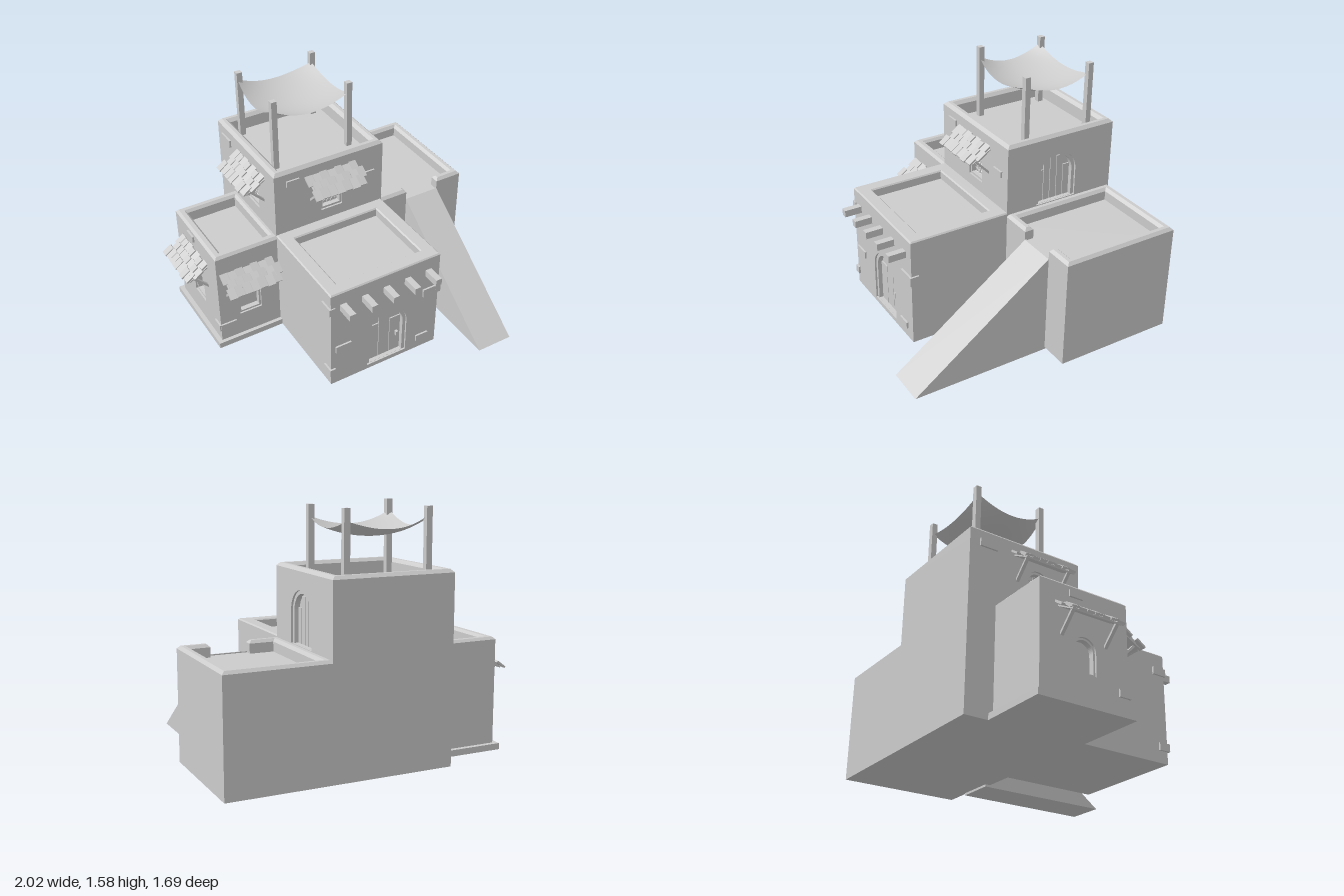
import * as THREE from 'three';

const mat = new THREE.MeshStandardMaterial({ color: 0xcccccc, flatShading: true });
const clothMat = new THREE.MeshStandardMaterial({ color: 0xcccccc, side: THREE.DoubleSide });
const BASE = 0.015, WALL = 0.05;

function add(parent, name, geo, x = 0, y = 0, z = 0, m = mat) {
  const mesh = new THREE.Mesh(geo, m);
  mesh.name = name;
  mesh.position.set(x, y, z);
  parent.add(mesh);
  return mesh;
}
const box = (parent, name, w, h, d, x, y, z) => add(parent, name, new THREE.BoxGeometry(w, h, d), x, y, z);

function poly(points) {
  return new THREE.Shape(points.map(p => new THREE.Vector2(p[0], p[1])));
}

// Arched outline, w wide, from y0 up to y1 at the crown
function arch(cx, w, y0, y1) {
  const r = w / 2, s = new THREE.Shape();
  s.moveTo(cx - r, y0);
  s.lineTo(cx + r, y0);
  s.lineTo(cx + r, y1 - r);
  s.absarc(cx, y1 - r, r, 0, Math.PI, false);
  s.lineTo(cx - r, y0);
  return s;
}

const extrude = (shape, depth) =>
  new THREE.ExtrudeGeometry(shape, { depth, bevelEnabled: false, curveSegments: 12 });

// Parapet: outline swept upward, chamfered at the top edge only
function parapet(parent, shape, y0, y1, bevel) {
  const geo = new THREE.ExtrudeGeometry(shape, {
    depth: y1 - y0 - bevel, bevelSize: bevel, bevelThickness: bevel, bevelOffset: -bevel, bevelSegments: 1
  });
  const p = geo.attributes.position;
  for (let i = 0; i < p.count; i++) p.setZ(i, Math.max(0, p.getZ(i)));
  geo.rotateX(-Math.PI / 2);
  geo.computeVertexNormals();
  add(parent, 'parapet', geo, 0, y0, 0);
}

// Flat-roofed block. Returns its walls as groups whose local +z points outwards.
function block(parent, name, { x0, x1, z0, z1, top, floor, rim, bevel, openings = {}, gap }) {
  const g = new THREE.Group();
  g.name = name;
  parent.add(g);
  const cx = (x0 + x1) / 2, cz = (z0 + z1) / 2, w = x1 - x0, d = z1 - z0;
  const sides = {
    front: [cx, z1, 0, w], back: [cx, z0, Math.PI, w],
    right: [x1, cz, Math.PI / 2, d], left: [x0, cz, -Math.PI / 2, d]
  };
  const walls = {};
  for (const [side, [x, z, angle, len]] of Object.entries(sides)) {
    const wall = walls[side] = new THREE.Group();
    wall.name = side + 'Wall';
    wall.position.set(x, 0, z);
    wall.rotation.y = angle;
    g.add(wall);
    const shape = poly([[-len / 2, BASE], [len / 2, BASE], [len / 2, floor], [-len / 2, floor]]);
    for (const o of openings[side] || []) {
      shape.holes.push(arch(o.x, o.w, o.y0, o.y1));
      opening(wall, o);
    }
    add(wall, 'wall', extrude(shape, WALL), 0, 0, -WALL);
  }
  box(g, 'underside', w, 0.02, d, cx, BASE + 0.01, cz);
  box(g, 'roofFloor', w - 0.02, 0.02, d - 0.02, cx, floor - 0.01, cz);

  const a = x0 + rim, b = x1 - rim, n = -(z0 + rim), f = -(z1 - rim);
  let ring;
  if (gap) {
    ring = poly([[gap[0], -z1], [gap[0], f], [a, f], [a, n], [b, n], [b, f], [gap[1], f], [gap[1], -z1],
      [x1, -z1], [x1, -z0], [x0, -z0], [x0, -z1]]);
  } else {
    ring = poly([[x0, -z1], [x1, -z1], [x1, -z0], [x0, -z0]]);
    ring.holes.push(poly([[a, f], [a, n], [b, n], [b, f]]));
  }
  parapet(g, ring, floor, top, bevel);
  return walls;
}

// Recessed surround with a door (planks) or a window (lattice or plain) behind
function opening(wall, { x, w, y0, y1, t = 0.022, planks = 0, lattice, handle }) {
  const surround = arch(x, w, y0, y1), iw = w - 2 * t, top = y1 - t;
  surround.holes.push(arch(x, iw, planks ? y0 + 0.001 : y0 + t, top));
  add(wall, 'surround', extrude(surround, 0.04), 0, 0, -0.052);
  add(wall, planks ? 'door' : 'windowPane', extrude(arch(x, w, y0, y1), 0.01), 0, 0, -0.056);
  const r = iw / 2, spring = top - r;
  for (let i = 0; i < planks; i++) {
    const pw = iw / planks, px = -r + pw * (i + 0.5);
    const far = Math.abs(px) + pw / 2 - 0.003;
    const h = spring + Math.sqrt(Math.max(0, r * r - far * far)) - y0;
    box(wall, 'doorPlank', pw - 0.004, h, 0.01, x + px, y0 + h / 2, -0.043);
  }
  if (handle) box(wall, 'doorHandle', 0.016, 0.035, 0.025, x + r * 0.74, y0 + 0.145, -0.03);
  if (lattice) {
    const s = 0.017, inside = (u, v) =>
      Math.abs(u) < r && v > y0 + t && (v < spring || Math.hypot(u, v - spring) < r);
    for (let row = 0; row < 12; row++) for (let c = -4; c <= 4; c++) {
      const u = (c + (row % 2) / 2) * s * 1.73, v = y0 + t + row * s * 1.5 + 0.01;
      if (!inside(u, v)) continue;
      const cell = add(wall, 'latticeCell', new THREE.TorusGeometry(s, 0.003, 4, 6), x + u, v, -0.042);
      cell.rotation.z = Math.PI / 6;
    }
  }
}

// Sloping tiled canopy on two diagonal struts
function canopy(wall, x, yTop) {
  const g = new THREE.Group();
  g.name = 'tiledCanopy';
  g.position.set(x, yTop, 0);
  wall.add(g);
  const slope = new THREE.Group();
  slope.name = 'canopySlope';
  slope.rotation.x = 0.5;
  g.add(slope);
  box(slope, 'canopyBoard', 0.35, 0.008, 0.155, 0, -0.016, 0.08);
  for (let row = 0; row < 3; row++) for (let i = 0; i < 7; i++) {
    const k = Math.sin(row * 12.9 + i * 78.2);
    const tile = box(slope, 'roofTile', 0.05, 0.013, 0.072,
      (i - 3) * 0.053 + (row % 2 ? 0.014 : -0.012), k * 0.002, 0.035 + row * 0.052 + k * 0.005);
    tile.rotation.set(0.12, 0, k * 0.06);
  }
  for (const s of [-0.15, 0.15]) {
    const strut = box(g, 'canopyStrut', 0.022, 0.18, 0.014, s, -0.13, 0.05);
    strut.rotation.x = 0.78;
  }
}

// Exposed brick standing slightly proud of a wall
const brick = (wall, x, y, w = 0.1, h = 0.048) => box(wall, 'exposedBrick', w, h, 0.04, x, y, -0.008);

export function createModel() {
  const model = new THREE.Group();
  model.name = 'desertHouse';

  // Main blocks
  const tower = block(model, 'tower', {
    x0: -0.43, x1: 0.355, z0: -0.845, z1: -0.06, top: 1.2, floor: 1.1, rim: 0.062, bevel: 0.02,
    openings: {
      front: [{ x: 0.015, w: 0.155, y0: 0.82, y1: 1.035, t: 0.014, lattice: true }],
      right: [{ x: -0.028, w: 0.29, y0: 0.735, y1: 1.07, planks: 5 }],
      left: [{ x: 0.09, w: 0.155, y0: 0.82, y1: 1.035, t: 0.014, lattice: true }]
    }
  });
  const eastWing = block(model, 'eastWing', {
    x0: 0.345, x1: 1, z0: -0.845, z1: -0.06, top: 0.735, floor: 0.655, rim: 0.06, bevel: 0.018, gap: [0.56, 0.81]
  });
  const hall = block(model, 'frontHall', {
    x0: -0.43, x1: 0.355, z0: -0.07, z1: 0.615, top: 0.745, floor: 0.685, rim: 0.09, bevel: 0.008,
    openings: { front: [{ x: 0.0175, w: 0.29, y0: 0.045, y1: 0.445, planks: 3, handle: true }] }
  });
  const westWing = block(model, 'westWing', {
    x0: -0.86, x1: -0.4, z0: -0.66, z1: -0.055, top: 0.735, floor: 0.65, rim: 0.06, bevel: 0.016,
    openings: {
      front: [{ x: -0.01, w: 0.155, y0: 0.22, y1: 0.435, t: 0.012 }],
      left: [{ x: 0, w: 0.155, y0: 0.22, y1: 0.435, t: 0.012 }]
    }
  });

  // Plinths
  box(model, 'plinth', 0.47, 0.04, 0.66, -0.655, 0.035, -0.36);
  box(model, 'plinth', 0.21, 0.04, 0.04, 0.455, 0.035, -0.055);

  // Canopies over the windows
  canopy(tower.front, 0.015, 1.112);
  canopy(tower.left, 0.09, 1.112);
  canopy(westWing.front, -0.015, 0.595);
  canopy(westWing.left, -0.005, 0.595);

  // Exposed bricks
  brick(tower.front, -0.265, 1.11, 0.09, 0.04);
  brick(tower.front, 0.285, 0.985, 0.09, 0.04);
  brick(tower.left, -0.265, 1.1, 0.12, 0.05);
  brick(hall.front, -0.307, 0.3, 0.11);
  brick(hall.front, 0.284, 0.105, 0.09, 0.043);
  brick(hall.front, 0.338, 0.473, 0.125, 0.058);
  brick(hall.right, -0.325, 0.473, 0.06, 0.058);
  brick(hall.left, 0.315, 0.12, 0.08, 0.05);
  brick(hall.left, 0.3, 0.62, 0.1, 0.05);
  brick(westWing.front, -0.177, 0.165, 0.11);
  brick(westWing.left, 0.27, 0.165, 0.08);
  brick(westWing.left, -0.06, 0.675, 0.09, 0.042);
  box(model, 'exposedBrick', 0.05, 0.08, 0.14, 0.55, 0.16, 0.265);

  // Roof beams poking through the hall front
  for (let i = 0; i < 5; i++) {
    box(model, 'roofBeam', 0.042, 0.046, 0.15, -0.345 + i * 0.154, 0.63, 0.655);
  }

  // Ramp to the east roof
  const ramp = extrude(poly([[-0.07, 0], [0.845, 0], [-0.06, 0.662], [-0.07, 0.662]]), 0.25);
  ramp.rotateY(-Math.PI / 2);
  add(model, 'ramp', ramp, 0.81, 0, 0);

  // Sunshade posts and sagging cloth
  for (const x of [-0.31, 0.222]) for (const z of [-0.735, -0.268]) {
    const top = x < 0 && z > -0.5 ? 1.58 : 1.56;
    box(model, 'sunshadePost', 0.038, top - 1.1, 0.036, x, (top + 1.1) / 2, z);
  }
  const cloth = new THREE.PlaneGeometry(2, 2, 20, 20);
  const p = cloth.attributes.position;
  for (let i = 0; i < p.count; i++) {
    const u = p.getX(i), v = p.getY(i);
    const y = 1.38 + 0.055 * (u * u + v * v) - 0.012 * u * u * v * v * u + 0.01 * u * u * v * v;
    const x = -0.05 + u * (0.27 + 0.012 * (1 - v * v));
    const z = -0.498 - v * (0.235 + 0.02 * (1 - u * u));
    p.setXYZ(i, x, y, z);
  }
  cloth.computeVertexNormals();
  add(model, 'sunshadeCloth', cloth, 0, 0, 0, clothMat);

  return model;
}
